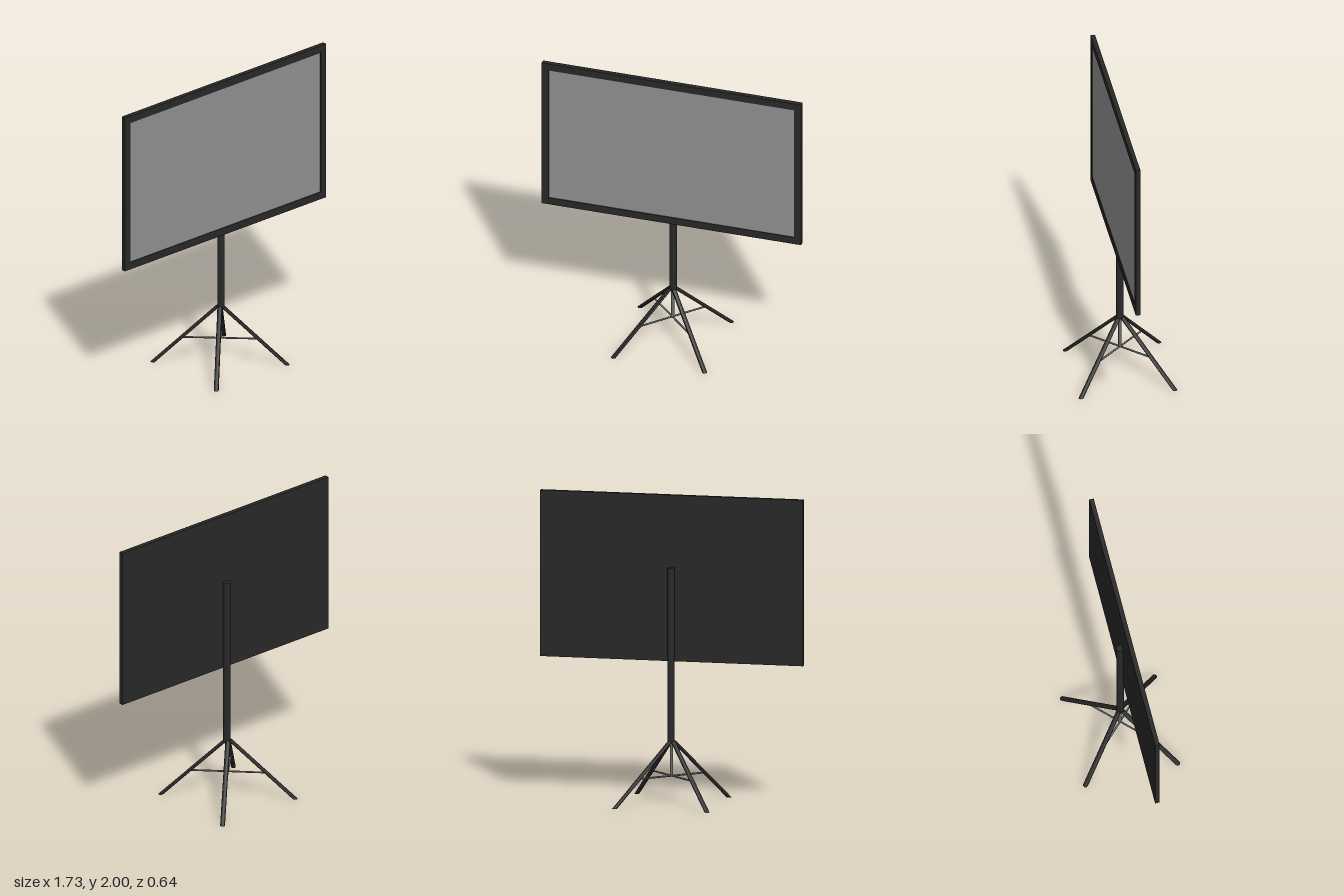
import * as THREE from 'three';

export function createModel() {
  const model = new THREE.Group();
  const black = new THREE.MeshStandardMaterial({ color: 0x282828 });
  black.name = 'black plastic';
  const screenGrey = new THREE.MeshStandardMaterial({ color: 0x909090 });
  screenGrey.name = 'screen grey';
  const metal = new THREE.MeshStandardMaterial({ color: 0x686868 });
  metal.name = 'grey metal';

  const add = (name, geometry, material, x = 0, y = 0, z = 0) => {
    const mesh = new THREE.Mesh(geometry, material);
    mesh.name = name;
    mesh.position.set(x, y, z);
    model.add(mesh);
    return mesh;
  };
  const rect = (path, w, h) => path
    .moveTo(-w / 2, -h / 2).lineTo(w / 2, -h / 2).lineTo(w / 2, h / 2).lineTo(-w / 2, h / 2).closePath();

  // Display: back panel, raised bezel and recessed screen
  const W = 1.734, H = 1.08, midY = 1.46;
  add('backPanel', new THREE.BoxGeometry(W, H, 0.02), black, 0, midY, 0.023);
  const outline = rect(new THREE.Shape(), W, H);
  outline.holes.push(rect(new THREE.Path(), 1.64, 0.98));
  add('bezel', new THREE.ExtrudeGeometry(outline, { depth: 0.01, bevelEnabled: false }), black, 0, midY, 0.033);
  add('screen', new THREE.BoxGeometry(1.64, 0.98, 0.004), screenGrey, 0, midY - 0.002, 0.035);

  // Upright pole behind the display
  add('pole', new THREE.CylinderGeometry(0.024, 0.024, 1.13, 12), black, 0, 0.965, 0);

  // Four slanted legs with level feet, made by shearing upright tubes
  const cx = -0.007, top = 0.405, inner = 0.008, outer = 0.305;
  for (const sx of [-1, 1]) {
    for (const sz of [-1, 1]) {
      const leg = new THREE.CylinderGeometry(0.016, 0.016, top, 10);
      const p = leg.attributes.position;
      for (let i = 0; i < p.count; i++) {
        const t = 0.5 - p.getY(i) / top;
        const reach = inner + (outer - inner) * t;
        p.setX(i, p.getX(i) + sx * reach);
        p.setZ(i, p.getZ(i) + sz * reach);
      }
      leg.computeVertexNormals();
      add('leg', leg, black, cx, top / 2, -0.003);
    }
  }

  // Centre rod and crossed braces joining opposite legs
  add('centreRod', new THREE.CylinderGeometry(0.011, 0.011, 0.23, 10), metal, -0.004, 0.29, -0.002);
  for (const side of [-1, 1]) {
    const brace = add('brace', new THREE.CylinderGeometry(0.006, 0.006, 0.5, 8), metal, cx, 0.178, -0.003);
    brace.rotation.set(0, side * Math.PI / 4, Math.PI / 2);
  }
  return model;
}
